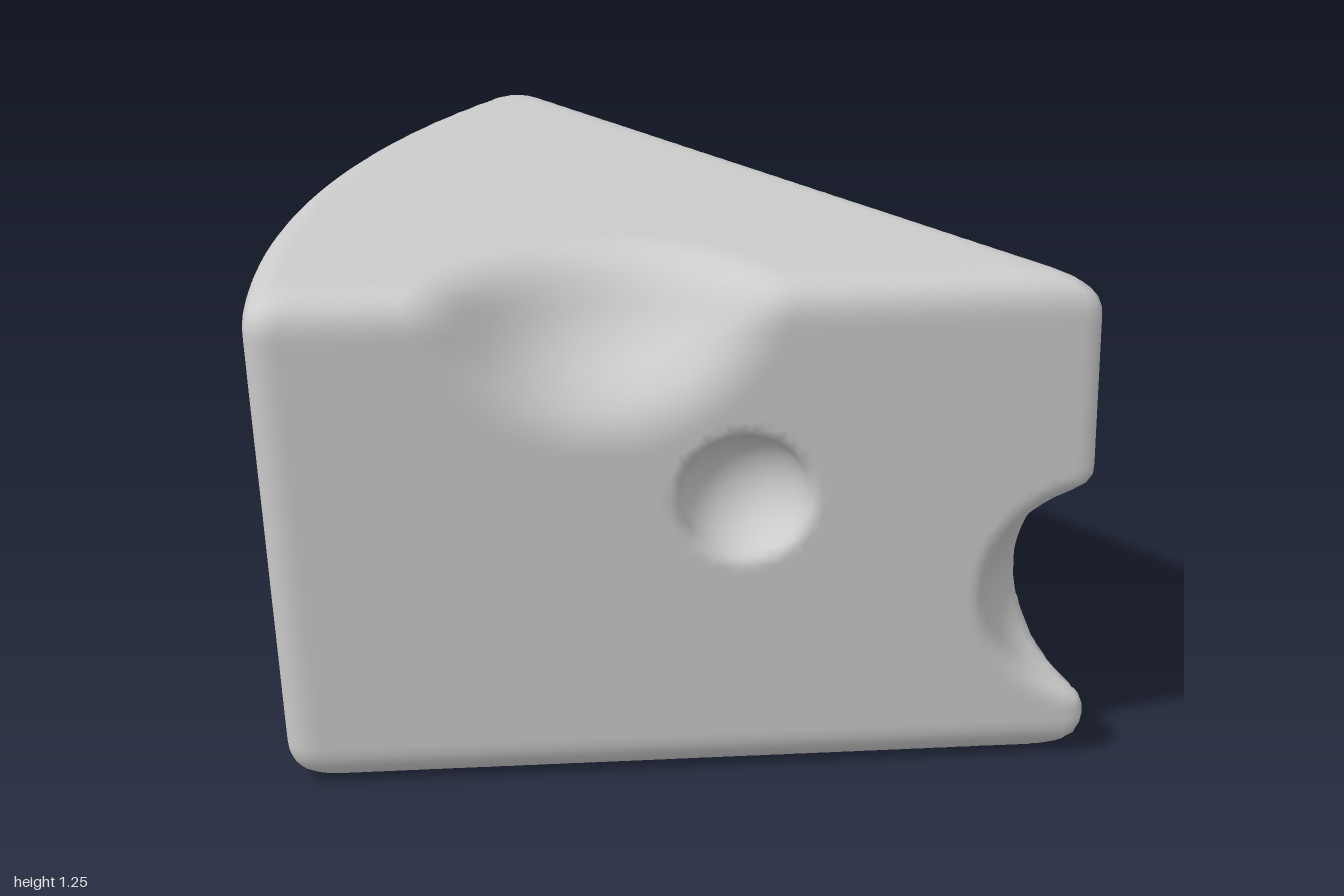
import * as THREE from 'three';

const HEIGHT = 1.25;
const APEX = { x: 1.026, z: 0.03 };
const FRONT_ANGLE = THREE.MathUtils.degToRad(24.6);
const BACK_ANGLE = THREE.MathUtils.degToRad(25.2);

// Round holes: centre, radius and softness of the rim
const HOLES = [
  { c: [0.25, 0.72, 0.395], r: 0.155, soft: 0.03 },  // small hole in the front wall
  { c: [-0.32, 0.58, -0.595], r: 0.365, soft: 0.03 }, // large hole in the back wall
  { c: [-0.02, 1.3, 0.61], r: 0.35, soft: 0.12 },    // scoop in the top front edge
  { c: [1.03, 0.44, 0.06], r: 0.27, soft: 0.05 },    // bite through the tip
];

// Intersection of two solids with a rounded edge of width k
function smoothMax(a, b, k) {
  const h = Math.max(k - Math.abs(a - b), 0) / k;
  return Math.max(a, b) + h * h * k / 4;
}

// Signed distance to the wedge: negative inside
function wedge(x, y, z) {
  const dx = x - APEX.x, dz = z - APEX.z;
  const front = Math.sin(FRONT_ANGLE) * dx + Math.cos(FRONT_ANGLE) * dz;
  const back = Math.sin(BACK_ANGLE) * dx - Math.cos(BACK_ANGLE) * dz;
  // curved rind, leaning outward towards the top
  const rind = Math.hypot(dx, z + 0.01) - 2.026 + 0.06 * (1 - y / HEIGHT);
  const slab = Math.abs(y - HEIGHT / 2) - HEIGHT / 2;
  let d = smoothMax(front, back, 0.06);
  d = smoothMax(d, rind, 0.08);
  d = smoothMax(d, slab, 0.1);
  for (const { c, r, soft } of HOLES) {
    d = smoothMax(d, r - Math.hypot(x - c[0], y - c[1], z - c[2]), soft);
  }
  return d;
}

function gradient(f, [x, y, z], e = 0.002) {
  return [
    f(x + e, y, z) - f(x - e, y, z),
    f(x, y + e, z) - f(x, y - e, z),
    f(x, y, z + e) - f(x, y, z - e),
  ].map((v) => v / (2 * e));
}

// Skin the zero level of f: one vertex per crossed cell, one quad per crossed edge
function skin(f, min, max, step) {
  const n = min.map((m, i) => Math.ceil((max[i] - m) / step) + 1);
  const stride = [1, n[0], n[0] * n[1]];
  const total = n[0] * n[1] * n[2];
  const field = new Float32Array(total);
  const cell = new Int32Array(total).fill(-1);
  const positions = [], normals = [], index = [];
  const eachCell = (visit) => {
    for (let k = 0; k < n[2] - 1; k++)
      for (let j = 0; j < n[1] - 1; j++)
        for (let i = 0; i < n[0] - 1; i++) visit([i, j, k], i + j * stride[1] + k * stride[2]);
  };

  for (let id = 0; id < total; id++) {
    const i = id % n[0], j = Math.floor(id / n[0]) % n[1], k = Math.floor(id / stride[2]);
    field[id] = f(min[0] + i * step, min[1] + j * step, min[2] + k * step);
  }

  // Vertices: mean of the edge crossings, then pulled exactly onto the surface
  eachCell((ijk, id) => {
    const sum = [0, 0, 0];
    let count = 0;
    for (let a = 0; a < 3; a++) {
      const b = (a + 1) % 3, c = (a + 2) % 3;
      for (let m = 0; m < 4; m++) {
        const u = m & 1, v = m >> 1;
        const s = id + u * stride[b] + v * stride[c];
        const d0 = field[s], d1 = field[s + stride[a]];
        if ((d0 < 0) === (d1 < 0)) continue;
        sum[a] += d0 / (d0 - d1);
        sum[b] += u;
        sum[c] += v;
        count++;
      }
    }
    if (!count) return;
    const p = ijk.map((q, a) => min[a] + (q + sum[a] / count) * step);
    for (let pass = 0; pass < 3; pass++) {
      const g = gradient(f, p);
      const t = f(...p) / Math.max(g[0] ** 2 + g[1] ** 2 + g[2] ** 2, 0.2);
      for (let a = 0; a < 3; a++) p[a] -= g[a] * t;
    }
    const g = gradient(f, p);
    const len = Math.hypot(...g) || 1;
    cell[id] = positions.length / 3;
    positions.push(...p);
    normals.push(g[0] / len, g[1] / len, g[2] / len);
  });

  // Quads, wound to face outward
  eachCell((ijk, id) => {
    for (let a = 0; a < 3; a++) {
      const b = (a + 1) % 3, c = (a + 2) % 3;
      const inside = field[id] < 0;
      if (inside === (field[id + stride[a]] < 0) || !ijk[b] || !ijk[c]) continue;
      const q = [id - stride[b] - stride[c], id - stride[c], id, id - stride[b]].map((s) => cell[s]);
      if (!inside) q.reverse();
      index.push(q[0], q[1], q[2], q[0], q[2], q[3]);
    }
  });

  const geometry = new THREE.BufferGeometry();
  geometry.setAttribute('position', new THREE.Float32BufferAttribute(positions, 3));
  geometry.setAttribute('normal', new THREE.Float32BufferAttribute(normals, 3));
  geometry.setIndex(index);
  return geometry;
}

export function createModel() {
  const group = new THREE.Group();
  group.name = 'cheese';
  const geometry = skin(wedge, [-1.06, -0.06, -0.93], [1.08, 1.32, 0.93], 0.0247);
  const mesh = new THREE.Mesh(geometry, new THREE.MeshStandardMaterial({ color: 0xcccccc }));
  mesh.name = 'cheeseWedge';
  group.add(mesh);
  return group;
}
